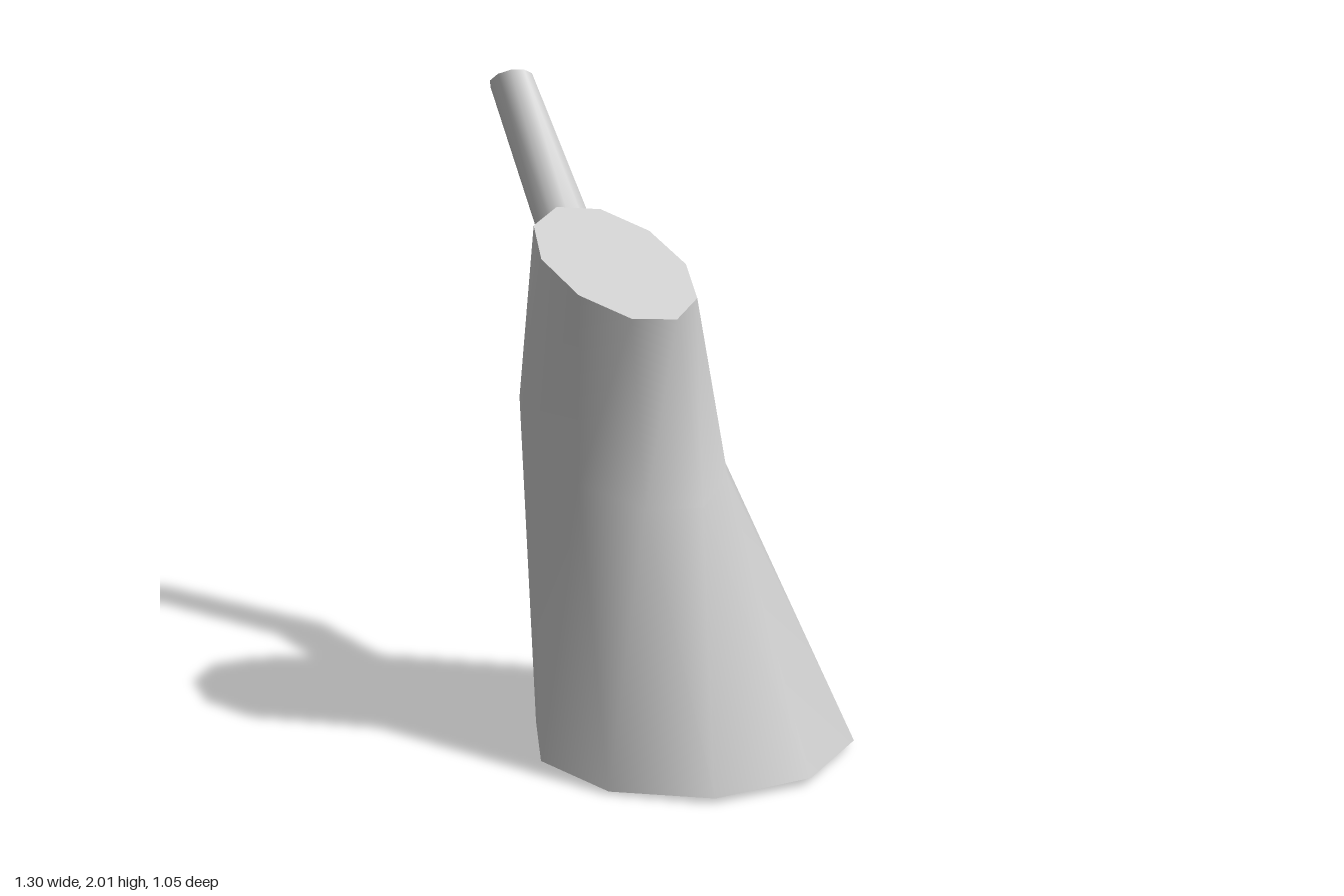
import * as THREE from 'three';

const SIDES = 10;
const V = (x, y, z) => new THREE.Vector3(x, y, z);

// A ring of points: centre + a cos + b sin, counter-clockwise seen from its tip side
function ring(center, a, b) {
  return Array.from({ length: SIDES }, (_, i) => {
    const t = (i / SIDES) * Math.PI * 2;
    return center.clone().addScaledVector(a, Math.cos(t)).addScaledVector(b, Math.sin(t));
  });
}

// A round ring at right angles to a direction
function roundRing(center, direction, radius) {
  const n = direction.clone().normalize();
  const a = V(1, 0, 0).addScaledVector(n, -n.x).normalize();
  const b = n.clone().cross(a);
  return ring(center, a.multiplyScalar(radius), b.multiplyScalar(radius));
}

// Smooth open skin through a list of rings
function loft(rings) {
  const index = [];
  for (let r = 0; r < rings.length - 1; r++) {
    for (let i = 0; i < SIDES; i++) {
      const j = (i + 1) % SIDES;
      const a = r * SIDES + i, b = r * SIDES + j;
      index.push(a, b, b + SIDES, a, b + SIDES, a + SIDES);
    }
  }
  const geometry = new THREE.BufferGeometry().setFromPoints(rings.flat());
  geometry.setIndex(index);
  geometry.computeVertexNormals();
  return geometry;
}

// Flat end face closing a ring
function cap(points) {
  const index = [];
  for (let i = 1; i < SIDES - 1; i++) index.push(0, i, i + 1);
  const geometry = new THREE.BufferGeometry().setFromPoints(points);
  geometry.setIndex(index);
  geometry.computeVertexNormals();
  return geometry;
}

export function createModel() {
  const group = new THREE.Group();
  const lightGrey = new THREE.MeshStandardMaterial({ color: 0xcccccc, side: THREE.DoubleSide });
  lightGrey.name = 'lightGrey';

  const add = (name, geometry) => {
    const mesh = new THREE.Mesh(geometry, lightGrey);
    mesh.name = name;
    group.add(mesh);
  };

  // Leaning trunk: wide open foot, tilted waist, slanted cut top
  const trunk = [
    ring(V(0.15, 0.0125, 0.03), V(0.5, 0.0125, -0.03), V(-0.03, 0, -0.499)),
    ring(V(-0.055, 0.95, 0.08), V(0.315, -0.11, -0.03), V(-0.05, 0.117, -0.296)),
    ring(V(-0.027, 1.5, 0.25), V(0.23, -0.1, -0.037), V(-0.04, 0.096, -0.243)),
  ];
  add('trunk', loft(trunk));
  add('trunkTop', cap(trunk[2]));

  // Bent side branch, rooted inside the trunk
  const root = V(-0.11, 1.09, -0.02), bend = V(-0.315, 1.395, -0.32), tip = V(-0.585, 1.973, -0.468);
  const lower = bend.clone().sub(root).normalize();
  const upper = tip.clone().sub(bend).normalize();
  const branch = [
    roundRing(root, lower, 0.1),
    roundRing(bend, lower.clone().add(upper), 0.092),
    roundRing(tip, V(-0.38, 1, -0.45), 0.072),
  ];
  add('branch', loft(branch));
  add('branchTip', cap(branch[2]));

  return group;
}
